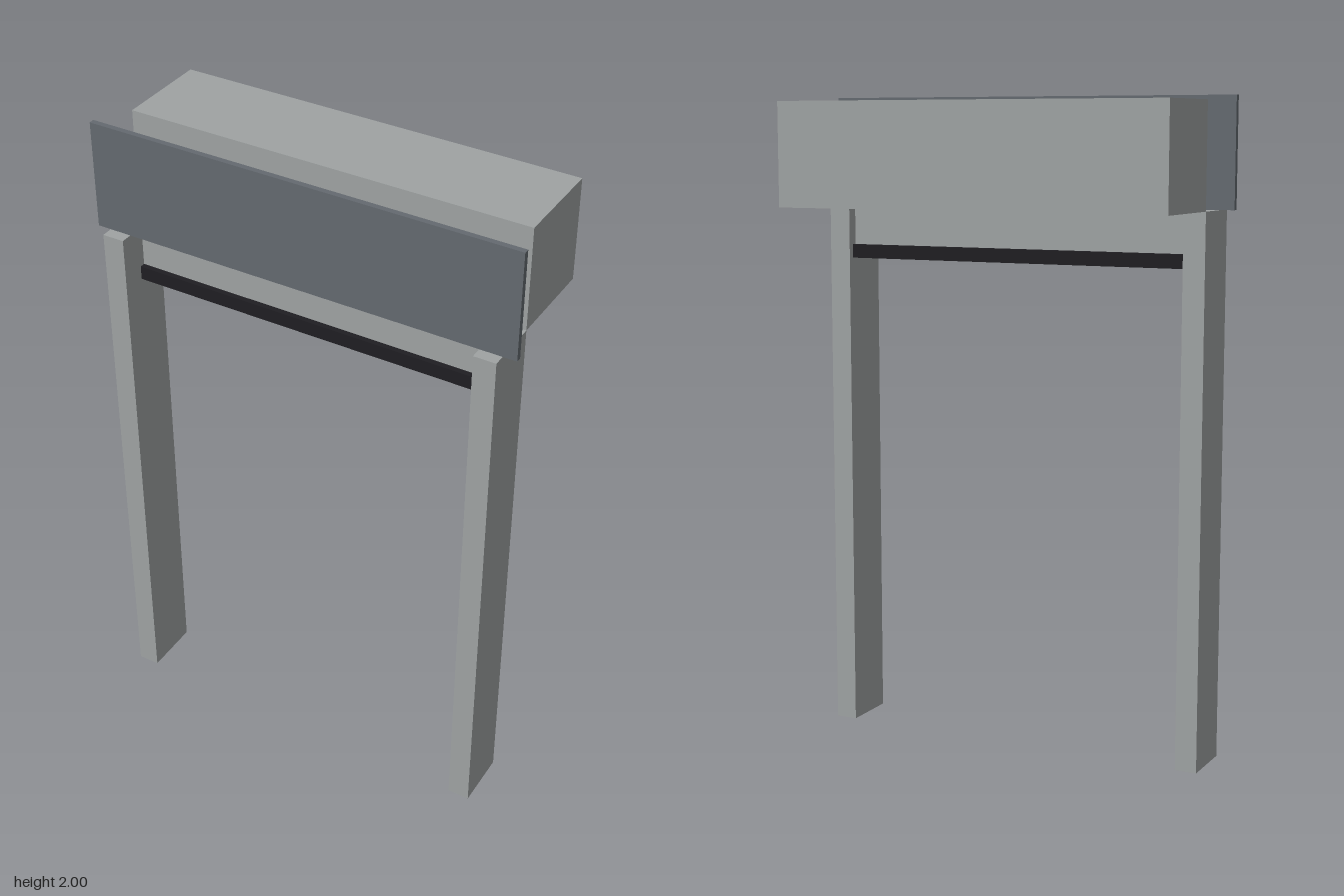
import * as THREE from 'three';

const material = (name, color) => {
  const m = new THREE.MeshStandardMaterial({ color });
  m.name = name;
  return m;
};

export function createModel() {
  const model = new THREE.Group();
  model.name = 'rollerShutter';

  const grey = material('light grey metal', 0x9fa3a3);
  const slate = material('slate panel', 0x646a70);
  const black = material('black rubber', 0x1f1e22);

  // Box given by its limits on each axis
  const addBox = (name, mat, [x0, x1], [y0, y1], [z0, z1]) => {
    const mesh = new THREE.Mesh(new THREE.BoxGeometry(x1 - x0, y1 - y0, z1 - z0), mat);
    mesh.position.set((x0 + x1) / 2, (y0 + y1) / 2, (z0 + z1) / 2);
    mesh.name = name;
    model.add(mesh);
  };

  const inner = 0.557, outer = 0.625, top = 1.67;

  // Side guide posts
  addBox('leftPost', grey, [inner, outer], [0, top], [0.058, 0.235]);
  addBox('rightPost', grey, [-outer, -inner], [0, top], [0.058, 0.235]);

  // Housing for the rolled curtain, behind the posts
  addBox('rollHousing', grey, [-outer, outer], [top, 1.985], [-0.235, 0.058]);

  // Raised curtain and its bottom seal
  addBox('curtain', grey, [-inner, inner], [1.545, top], [0.094, 0.144]);
  addBox('bottomSeal', black, [-inner, inner], [1.503, 1.545], [0.077, 0.161]);

  // Front fascia panel
  addBox('fasciaPanel', slate, [-0.667, 0.667], [top, 2], [0.182, 0.199]);

  return model;
}
